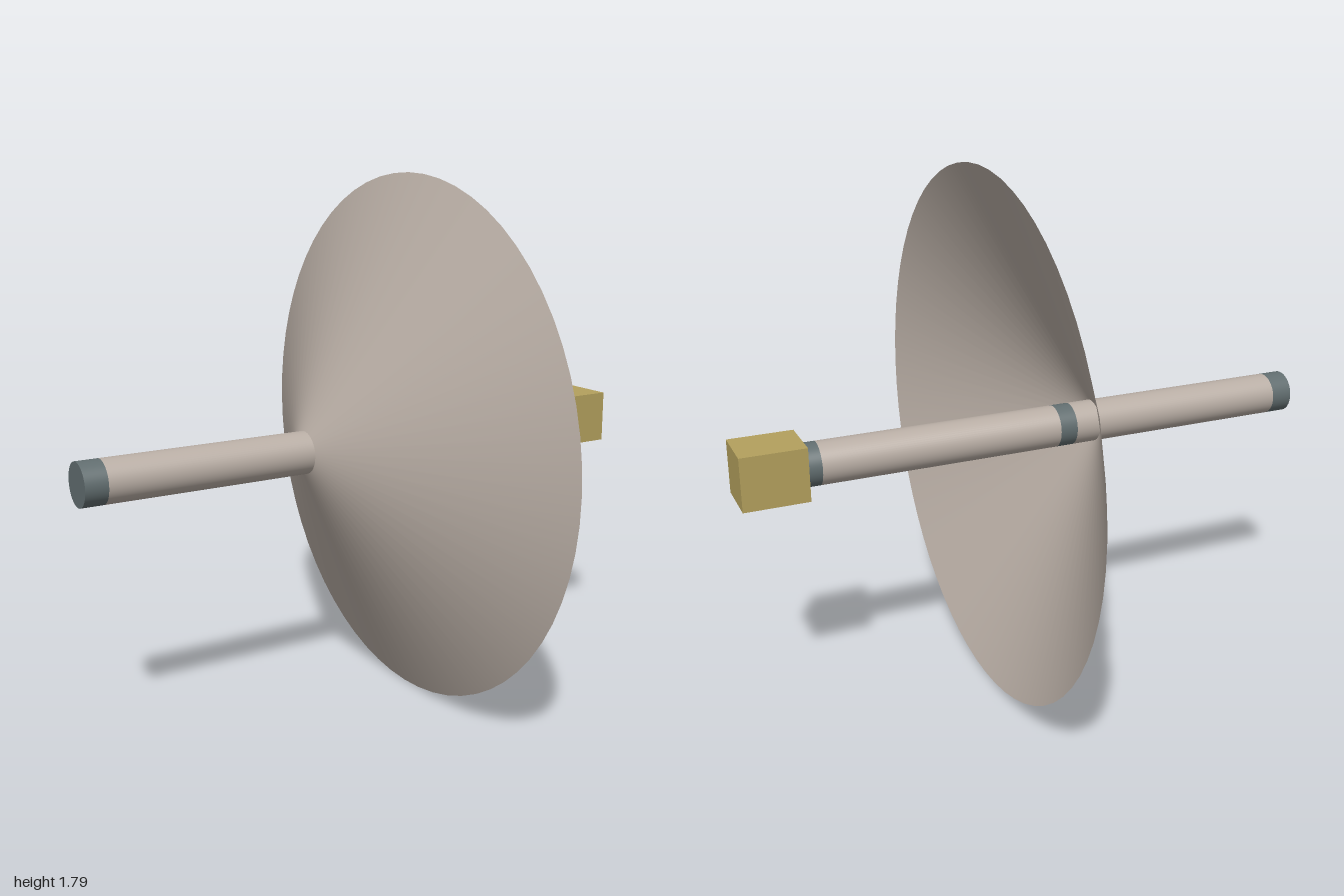
import * as THREE from 'three';

const material = (name, color, extra = {}) => {
  const m = new THREE.MeshStandardMaterial({ color, ...extra });
  m.name = name;
  return m;
};

export function createModel() {
  const root = new THREE.Group();
  root.name = 'dishOnBoom';
  const pale = material('warmGrey', 0xb9aea5);
  const paleThin = pale; // dish and tubes share one colour
  paleThin.side = THREE.DoubleSide;
  const dark = material('slateGrey', 0x626e70);
  const ochre = material('ochre', 0xb3a05d);

  // Everything lies along the x axis, at the height of the dish centre
  const AXIS_Y = 0.895, TUBE_R = 0.071;

  const along = (name, x0, x1, r0, r1, mat, open = false) => {
    const geo = new THREE.CylinderGeometry(r1, r0, x1 - x0, 64, 1, open);
    geo.rotateZ(-Math.PI / 2);
    const mesh = new THREE.Mesh(geo, mat);
    mesh.name = name;
    mesh.position.set((x0 + x1) / 2, AXIS_Y, 0);
    root.add(mesh);
  };
  const tube = (name, x0, x1, mat) => along(name, x0, x1, TUBE_R, TUBE_R, mat);

  // Boom: pale tubes with dark collars at both ends and at the joint
  tube('rearEndCap', -1, -0.926, dark);
  tube('rearTube', -0.926, -0.14, pale);
  tube('jointCollar', -0.14, -0.08, dark);
  tube('frontTube', -0.08, 0.74, pale);
  tube('frontCollar', 0.74, 0.8, dark);

  // Thin conical dish, opening towards +x
  along('dish', -0.225, 0.179, TUBE_R, 0.895, paleThin, true);

  // Feed box at the tip of the boom
  const box = new THREE.Mesh(new THREE.BoxGeometry(0.213, 0.178, 0.178), ochre);
  box.name = 'feedBox';
  box.position.set(0.8935, AXIS_Y, 0);
  root.add(box);

  return root;
}
